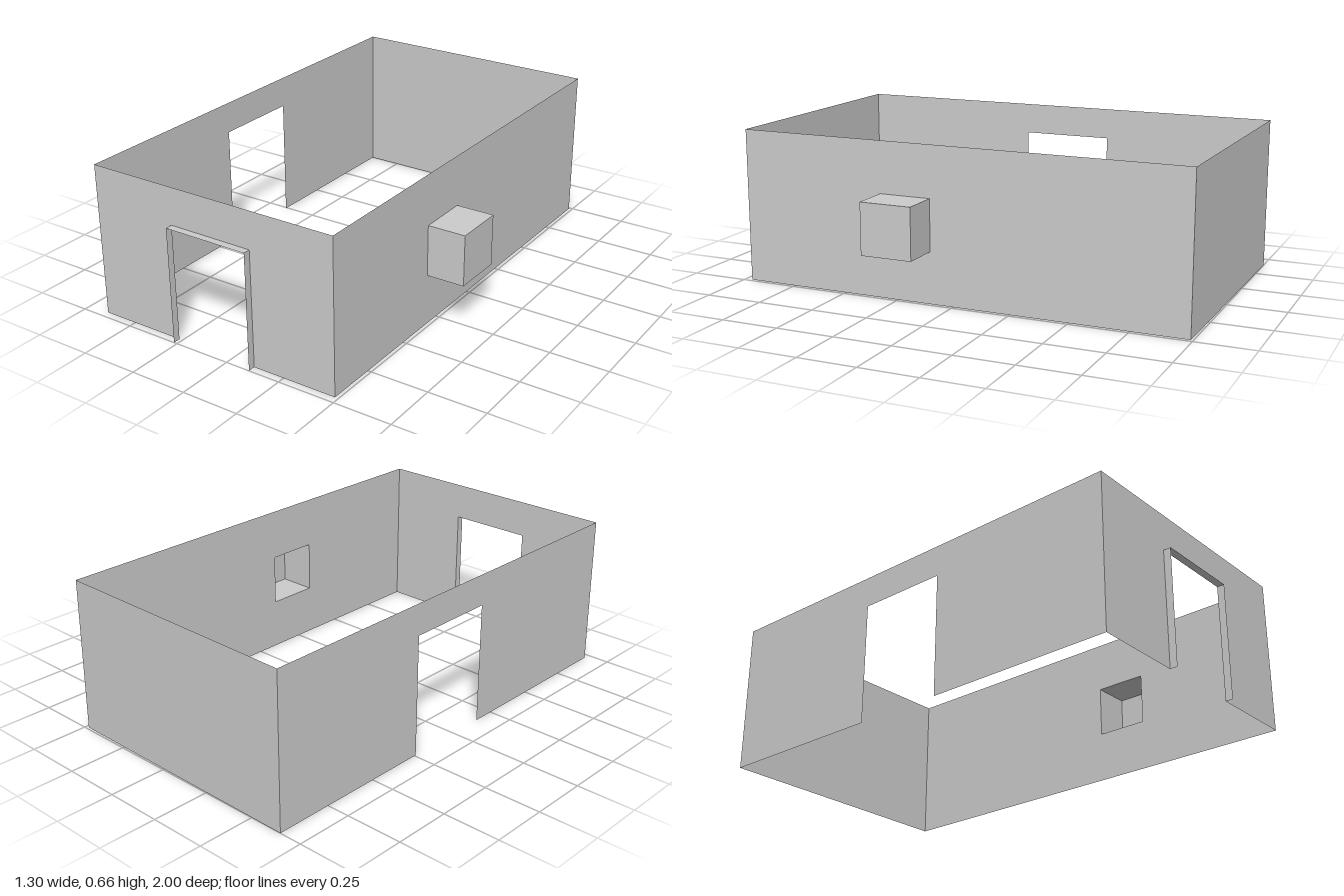
import * as THREE from 'three';

const material = new THREE.MeshStandardMaterial({ color: 0xcccccc, side: THREE.DoubleSide });
const HEIGHT = 0.66;

// Upright wall sheet between two plan points [x, z]; door and window are
// [start, end, bottom, top], with start and end measured along the wall.
function wall(name, [ax, az], [bx, bz], { door, window } = {}) {
  const length = Math.hypot(bx - ax, bz - az);
  const shape = new THREE.Shape();
  shape.moveTo(0, 0);
  if (door) {
    const [s, e, , top] = door;
    shape.lineTo(s, 0).lineTo(s, top).lineTo(e, top).lineTo(e, 0);
  }
  shape.lineTo(length, 0).lineTo(length, HEIGHT).lineTo(0, HEIGHT).closePath();
  if (window) {
    const [s, e, low, top] = window;
    const hole = new THREE.Path();
    hole.moveTo(s, low).lineTo(s, top).lineTo(e, top).lineTo(e, low).closePath();
    shape.holes.push(hole);
  }
  const mesh = new THREE.Mesh(new THREE.ShapeGeometry(shape), material);
  mesh.name = name;
  mesh.position.set(ax, 0, az);
  mesh.rotation.y = Math.atan2(az - bz, bx - ax);
  return mesh;
}

// Flat four-cornered sheet, corners anticlockwise from its front
function panel(name, ...corners) {
  const geometry = new THREE.BufferGeometry();
  geometry.setAttribute('position', new THREE.Float32BufferAttribute(corners.flat(), 3));
  geometry.setIndex([0, 1, 2, 0, 2, 3]);
  geometry.computeVertexNormals();
  const mesh = new THREE.Mesh(geometry, material);
  mesh.name = name;
  return mesh;
}

export function createModel() {
  const model = new THREE.Group();
  model.name = 'room';
  const left = 0.485, right = -0.65, front = 0.968;

  // Four thin walls, open above and below; the back one is slightly skewed
  const frontRight = [right, front], frontLeft = [left, front];
  const backLeft = [left, -0.99], backRight = [right, -1];
  model.add(
    wall('frontWall', frontRight, frontLeft, { door: [0.385, 0.76, 0, 0.5] }),
    wall('leftWall', frontLeft, backLeft, { window: [front - 0.325, front - 0.1, 0.22, 0.44] }),
    wall('backWall', backLeft, backRight),
    wall('rightWall', backRight, frontRight, { door: [0.757, 1.152, 0, 0.524] })
  );

  // Door lining standing out from the front wall
  const lining = new THREE.Group();
  lining.name = 'doorLining';
  const x0 = -0.265, x1 = 0.11, top = 0.5, out = 1;
  lining.add(
    panel('rightJamb', [x0, 0, out], [x0, 0, front], [x0, top, front], [x0, top, out]),
    panel('leftJamb', [x1, 0, front], [x1, 0, out], [x1, top, out], [x1, top, front]),
    panel('doorHead', [x0, top, out], [x0, top, front], [x1, top, front], [x1, top, out])
  );

  // Window niche pushed out of the left wall, open to the room
  const niche = new THREE.Group();
  niche.name = 'windowNiche';
  const outer = 0.65, low = 0.22, high = 0.44, zb = 0.1, zf = 0.325;
  niche.add(
    panel('nicheSill', [left, low, zb], [outer, low, zb], [outer, low, zf], [left, low, zf]),
    panel('nicheTop', [left, high, zf], [outer, high, zf], [outer, high, zb], [left, high, zb]),
    panel('nicheFront', [left, low, zf], [outer, low, zf], [outer, high, zf], [left, high, zf]),
    panel('nicheBack', [outer, low, zb], [left, low, zb], [left, high, zb], [outer, high, zb]),
    panel('nichePane', [outer, low, zf], [outer, low, zb], [outer, high, zb], [outer, high, zf])
  );

  model.add(lining, niche);
  return model;
}
